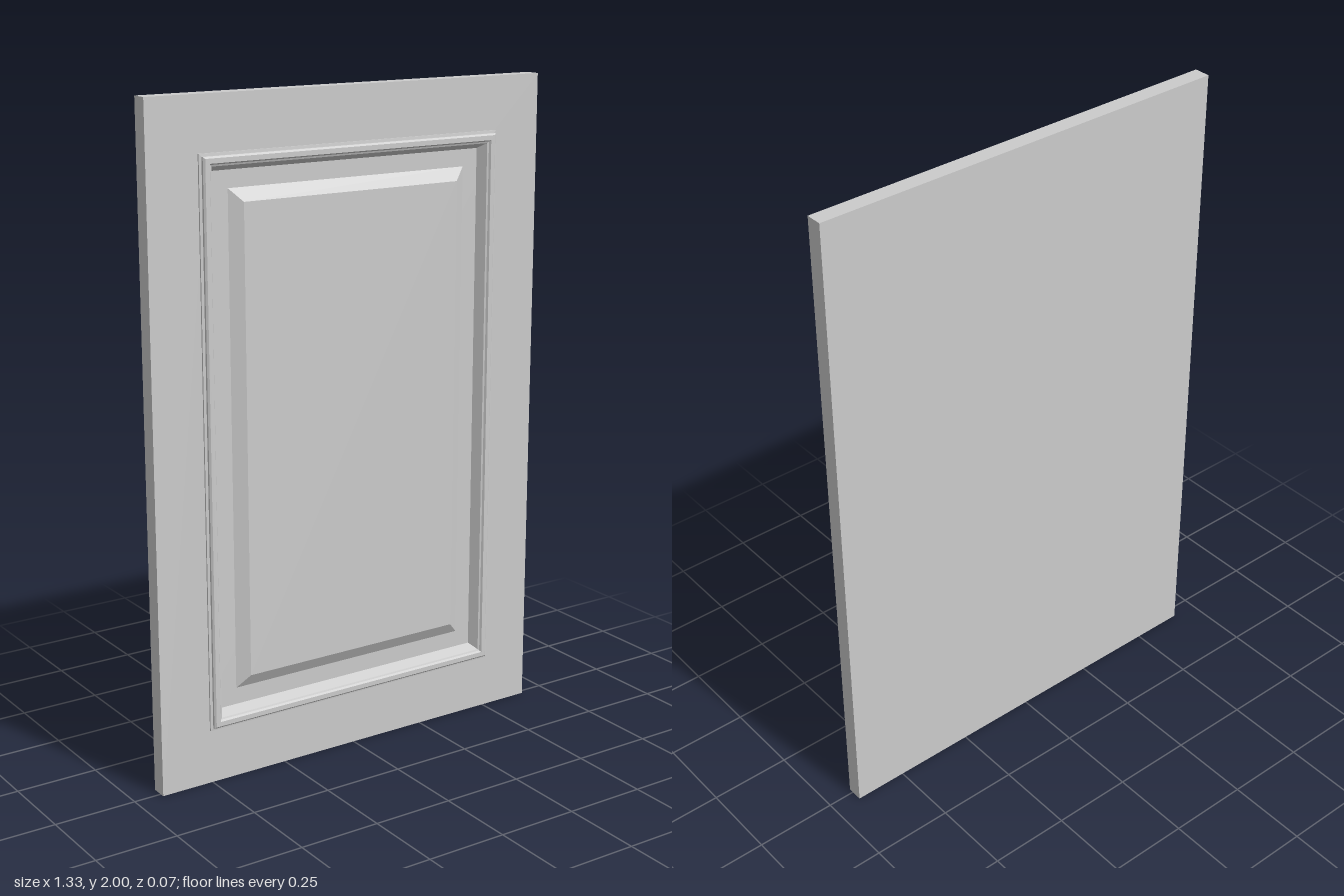
import * as THREE from 'three';

const material = new THREE.MeshStandardMaterial({ color: 0xcccccc, flatShading: true });
const CENTRE_Y = 1.003;

function addMesh(group, name, geometry) {
  const mesh = new THREE.Mesh(geometry, material);
  mesh.name = name;
  group.add(mesh);
  return mesh;
}

// Mitred surface through nested rectangles: each step is [half width, half height, z], outermost first
function mitredRings(steps, capped) {
  const positions = [];
  const corners = steps.map(([w, h, z]) =>
    [[-w, -h, z], [w, -h, z], [w, h, z], [-w, h, z]]);
  const quad = (a, b, c, d) => positions.push(...a, ...b, ...c, ...a, ...c, ...d);
  for (let i = 0; i < steps.length - 1; i++) {
    for (let k = 0; k < 4; k++) {
      const n = (k + 1) % 4;
      quad(corners[i][k], corners[i][n], corners[i + 1][n], corners[i + 1][k]);
    }
  }
  if (capped) quad(...corners[corners.length - 1]);
  const geometry = new THREE.BufferGeometry();
  geometry.setAttribute('position', new THREE.Float32BufferAttribute(positions, 3));
  geometry.computeVertexNormals();
  return geometry;
}

function rectangle(PathType, w, y0, y1) {
  return new PathType([[-w, y0], [w, y0], [w, y1], [-w, y1]].map(([x, y]) => new THREE.Vector2(x, y)));
}

export function createModel() {
  const door = new THREE.Group();
  door.name = 'panelDoor';

  // Back slab, its front forming the floor of the recess
  addMesh(door, 'backSlab', new THREE.BoxGeometry(1.33, 2, 0.03)).position.set(0, 1, -0.02);

  // Flat frame around the recess
  const frame = rectangle(THREE.Shape, 0.665, 0, 2);
  frame.holes.push(rectangle(THREE.Path, 0.48, CENTRE_Y - 0.815, CENTRE_Y + 0.815));
  const frameGeometry = new THREE.ExtrudeGeometry(frame, { depth: 0.02, bevelEnabled: false });
  addMesh(door, 'frame', frameGeometry).position.z = -0.005;

  // Stepped moulding: inset from its outer edge, z
  const profile = [
    [0, 0.015], [0, 0.02], [0.008, 0.021], [0.008, 0.028], [0.013, 0.033],
    [0.027, 0.033], [0.031, 0.027], [0.036, 0.025], [0.052, -0.005],
  ];
  const moulding = mitredRings(profile.map(([d, z]) => [0.506 - d, 0.838 - d, z]), false);
  addMesh(door, 'moulding', moulding).position.y = CENTRE_Y;

  // Raised centre field with sloping edges
  const field = mitredRings([[0.403, 0.735, -0.005], [0.365, 0.697, 0.017]], true);
  addMesh(door, 'raisedField', field).position.y = CENTRE_Y;

  return door;
}
